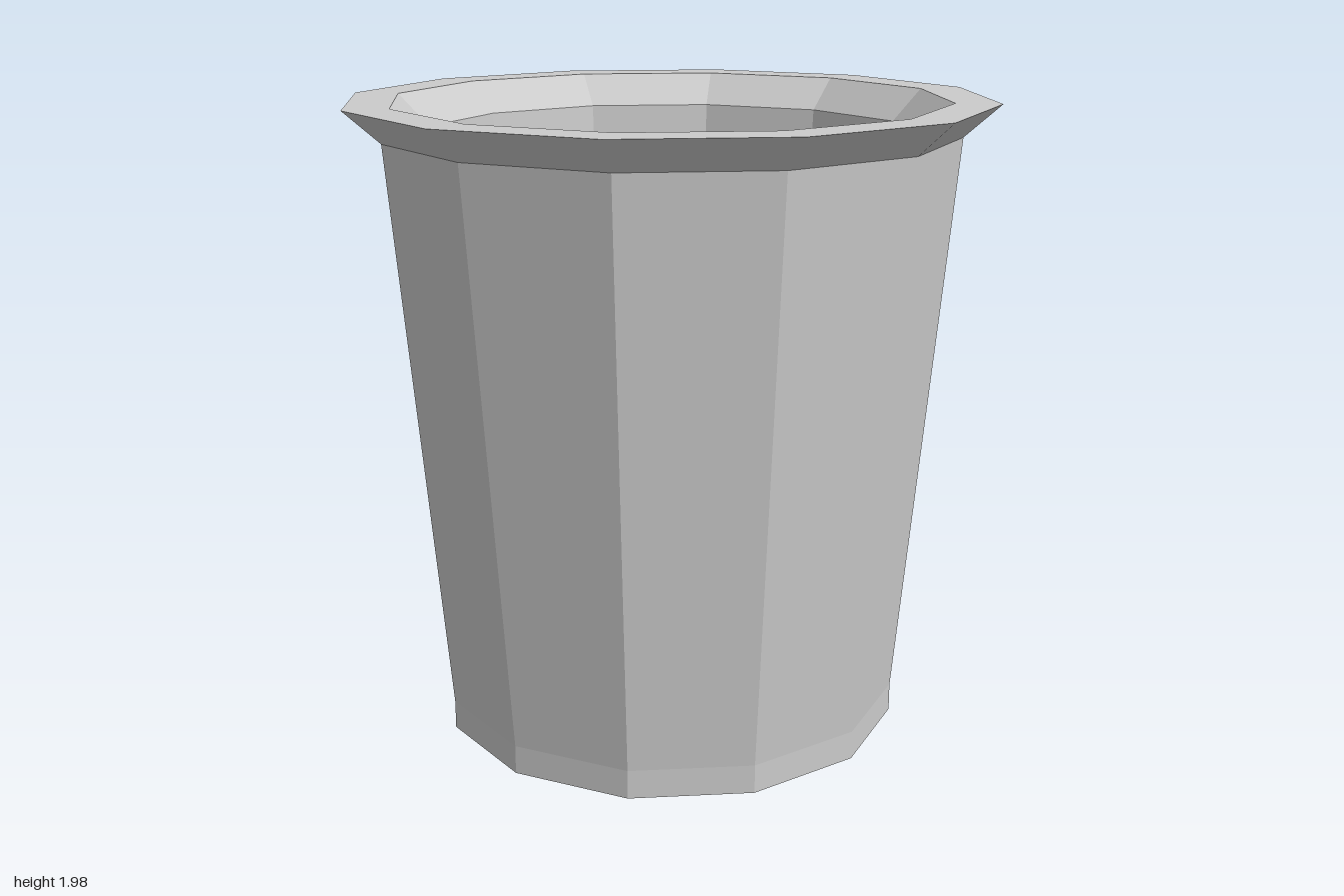
import * as THREE from 'three';

const SIDES = 12;
const INNER = 0.86; // inner radius as a share of the outer radius

export function createModel() {
  const group = new THREE.Group();
  group.name = 'bucket';
  const material = new THREE.MeshStandardMaterial({ color: 0xcccccc, flatShading: true });

  // Outer rings from the foot up to the flared rim: [radius, height]
  const rings = [[0.732, 0], [0.732, 0.09], [0.888, 1.877], [1, 1.977]];
  const outside = rings.map(([r, y]) => new THREE.Vector2(r, y));
  // The inside follows the same rings back down to the floor
  const inside = rings.slice(1).reverse().map(([r, y]) => new THREE.Vector2(r * INNER, y));

  const addPart = (name, points) => {
    const mesh = new THREE.Mesh(new THREE.LatheGeometry(points, SIDES), material);
    mesh.name = name;
    group.add(mesh);
  };

  // Underside and tapered outer wall
  addPart('outerWall', [new THREE.Vector2(0, 0), ...outside.slice(0, 3)]);
  // Flared lip with its flat top and sloping inner edge
  addPart('rim', [outside[2], outside[3], inside[0], inside[1]]);
  // Hollow interior down to the raised floor
  addPart('innerWall', [inside[1], inside[2], new THREE.Vector2(0, 0.09)]);

  return group;
}
